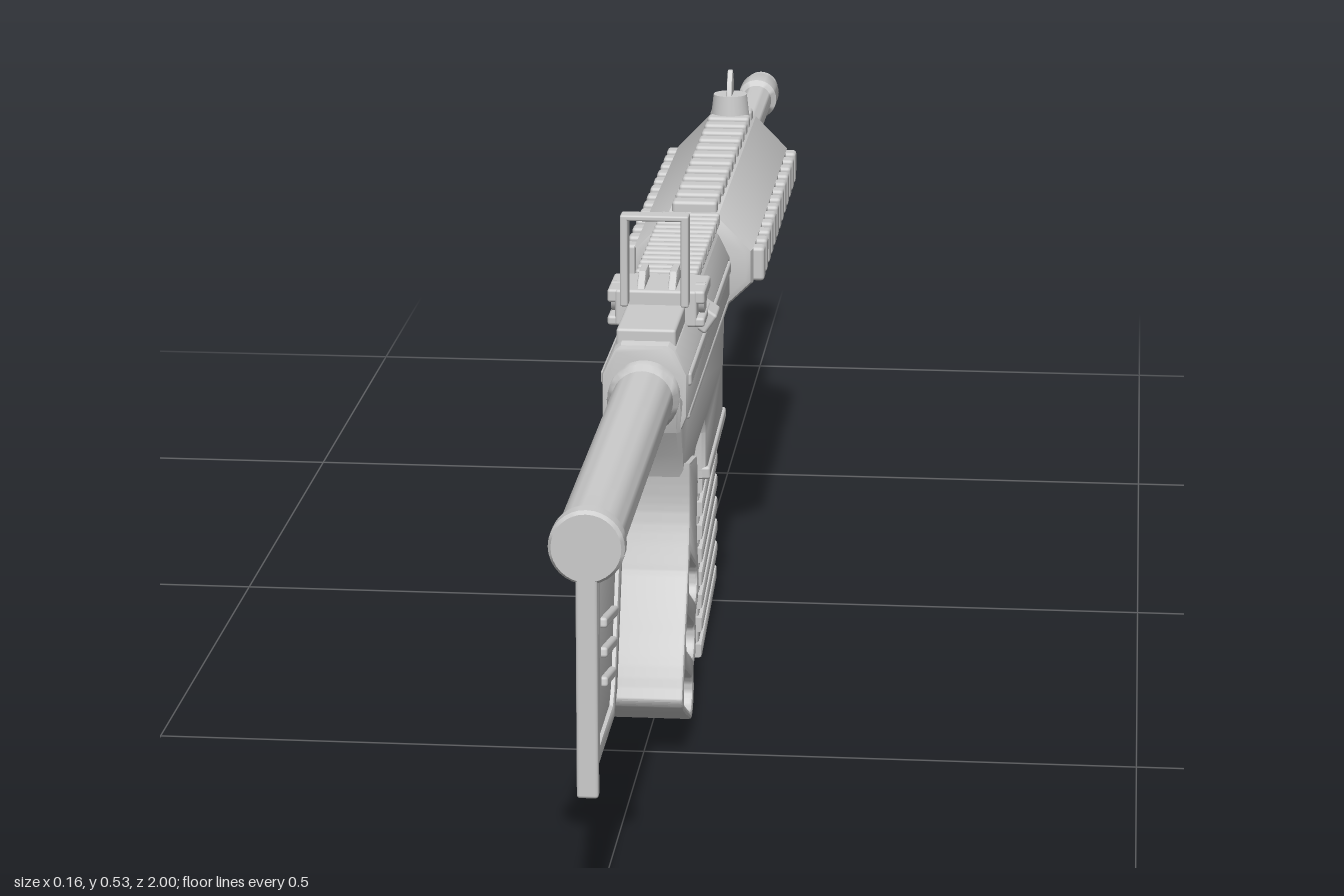
import * as THREE from 'three';
import { toCreasedNormals } from 'three/addons/utils/BufferGeometryUtils.js';
import { RoundedBoxGeometry } from 'three/addons/geometries/RoundedBoxGeometry.js';

const AXIS = 0.376; // bore height
const mat = new THREE.MeshStandardMaterial({ color: 0xcccccc });
const matDouble = new THREE.MeshStandardMaterial({ color: 0xcccccc, side: THREE.DoubleSide });
const v2 = (p) => new THREE.Vector2(p[0], p[1]);

function add(parent, name, geo, x = 0, y = 0, z = 0, material = mat) {
  const m = new THREE.Mesh(geo, material);
  m.name = name;
  m.position.set(x, y, z);
  parent.add(m);
  return m;
}

function extrude(shape, depth, bevel) {
  const g = new THREE.ExtrudeGeometry(shape, {
    depth: depth - 2 * bevel, bevelEnabled: bevel > 0, bevelThickness: bevel,
    bevelSize: bevel, bevelOffset: -bevel, bevelSegments: 2, curveSegments: 10,
  });
  g.translate(0, 0, bevel - depth / 2);
  return g;
}

// Side outline in (z, y), given a width across x
const sideProfile = (shape, width, bevel = 0.004) =>
  toCreasedNormals(extrude(shape, width, bevel).rotateY(-Math.PI / 2), 0.6);

// Mirrored cross-section in (x, y), run along z
function section(half, z0, z1, bevel = 0.004) {
  const pts = [...half, ...half.map(([x, y]) => [-x, y]).reverse()];
  const g = extrude(new THREE.Shape(pts.map(v2)), z1 - z0, bevel);
  g.translate(0, 0, (z0 + z1) / 2);
  return toCreasedNormals(g, 0.5);
}

// Turned part from [radius, z] points
function turned(points, seg = 32) {
  const g = new THREE.LatheGeometry(points.map(v2), seg);
  g.rotateX(Math.PI / 2);
  return toCreasedNormals(g, 0.6);
}

const poly = (pts) => new THREE.Shape(pts.map(v2));
const block = (w, h, d, r = 0.003) => new RoundedBoxGeometry(w, h, d, 2, r);

function buildStock() {
  const g = new THREE.Group();
  g.name = 'stock';
  add(g, 'bufferTube', turned([[0, 0.47], [0.031, 0.47], [0.031, 0.975], [0.035, 0.98], [0.035, 0.996], [0.032, 1], [0, 1]]), 0, 0.374, 0, matDouble);
  // Raised border around a thinner web
  const outline = [[0.995, 0.355], [0.765, 0.355], [0.835, 0.185], [0.862, 0.165], [0.995, 0.165]];
  const rim = poly(outline);
  rim.holes.push(new THREE.Path([[0.98, 0.345], [0.795, 0.345], [0.855, 0.193], [0.87, 0.18], [0.98, 0.18]].map(v2)));
  add(g, 'stockRim', sideProfile(rim, 0.02, 0.002));
  add(g, 'stockWeb', sideProfile(poly(outline), 0.012, 0.002));
  add(g, 'buttPlate', block(0.02, 0.225, 0.012), 0, 0.2475, 0.994);
  for (let i = 0; i < 3; i++) {
    const rib = add(g, 'stockRib', block(0.024, 0.01, 0.1 - i * 0.012), 0, 0.274 - i * 0.028, 0.89 + i * 0.004);
    rib.rotation.x = -0.2;
  }
  return g;
}

function buildReceiver() {
  const g = new THREE.Group();
  g.name = 'receiver';
  add(g, 'upperReceiver', section([[0.036, 0.335], [0.043, 0.352], [0.043, 0.395], [0.031, 0.42], [0.024, 0.426]], -0.015, 0.485));
  const lower = poly([[0.492, 0.375], [0.485, 0.335], [0.462, 0.305], [0.45, 0.27], [0.36, 0.265], [0.335, 0.272],
    [0.215, 0.272], [0.205, 0.255], [0.205, 0.205], [0.01, 0.217], [0.008, 0.28], [-0.008, 0.32], [-0.012, 0.36], [0.4, 0.36]]);
  add(g, 'lowerReceiver', sideProfile(lower, 0.076, 0.006));
  add(g, 'magazineWellLip', block(0.082, 0.014, 0.2), 0, 0.216, 0.105).rotation.x = 0.06;
  add(g, 'receiverCollar', turned([[0, 0.47], [0.036, 0.47], [0.036, 0.5], [0.031, 0.508], [0, 0.508]]), 0, 0.374, 0, matDouble);
  for (const s of [-1, 1]) {
    add(g, 'sideStrip', block(0.006, 0.014, 0.47), s * 0.043, 0.387, 0.235);
    add(g, 'sideSeam', block(0.006, 0.008, 0.46), s * 0.041, 0.348, 0.235);
  }
  add(g, 'caseDeflector', block(0.02, 0.024, 0.04), 0.045, 0.412, 0.31).rotation.z = -0.6;
  add(g, 'chargingHandle', block(0.06, 0.022, 0.17), 0, 0.427, 0.385);

  // Top rail with cross teeth
  add(g, 'topRail', block(0.05, 0.022, 0.31), 0, 0.425, 0.145);
  for (let i = 0; i < 16; i++) add(g, 'railTooth', block(0.066, 0.014, 0.01), 0, 0.439, 0.293 - i * 0.0197);

  // Trigger guard and trigger
  const guard = new THREE.CatmullRomCurve3([[0.335, 0.268], [0.33, 0.215], [0.3, 0.186], [0.25, 0.18], [0.214, 0.2], [0.203, 0.25]]
    .map(([z, y]) => new THREE.Vector3(0, y, z)));
  const gg = new THREE.TubeGeometry(guard, 28, 0.007, 10);
  gg.scale(2, 1, 1);
  add(g, 'triggerGuard', gg);
  const trigger = new THREE.CatmullRomCurve3([[0.29, 0.275], [0.298, 0.245], [0.295, 0.225], [0.28, 0.205]]
    .map(([z, y]) => new THREE.Vector3(0, y, z)));
  add(g, 'trigger', new THREE.TubeGeometry(trigger, 14, 0.007, 8));
  return g;
}

// Open grip with three finger lobes
function buildGrip() {
  const d = [-0.906, -0.423], n = [0.423, -0.906];
  const centres = [[0.418, 0.16], [0.447, 0.108], [0.472, 0.058]];
  const at = (c, a, b) => new THREE.Vector2(c[0] + d[0] * a + n[0] * b, c[1] + d[1] * a + n[1] * b);
  const front = centres.flatMap((c) => [at(c, 0.05, -0.025), at(c, 0.063, -0.012), at(c, 0.063, 0.012), at(c, 0.052, 0.024)]);
  const back = [at(centres[2], -0.05, 0.024), at(centres[2], -0.062, 0), at(centres[1], -0.06, 0), at(centres[0], -0.058, 0)];
  const shape = new THREE.Shape();
  shape.moveTo(0.455, 0.295);
  shape.lineTo(0.375, 0.28);
  shape.lineTo(0.366, 0.25);
  shape.splineThru([new THREE.Vector2(0.378, 0.21), ...front]);
  shape.splineThru(back);
  shape.splineThru([new THREE.Vector2(0.452, 0.24), new THREE.Vector2(0.455, 0.295)]);
  for (const c of centres) {
    const ring = [];
    for (let i = 0; i < 24; i++) {
      const a = (i + 0.5) / 24 * Math.PI * 2, k = Math.cos(a);
      ring.push(at(c, Math.sign(k) * 0.034 + k * 0.017, Math.sin(a) * 0.018));
    }
    shape.holes.push(new THREE.Path(ring));
  }
  const g = new THREE.Group();
  g.name = 'grip';
  add(g, 'gripShell', sideProfile(shape, 0.086, 0.003), 0, 0, 0, matDouble);
  return g;
}

function buildMagazine() {
  const g = new THREE.Group();
  g.name = 'magazine';
  add(g, 'magazineBody', sideProfile(poly([[0.198, 0.25], [0.196, 0.008], [0.018, 0.038], [0.012, 0.25]]), 0.056));
  add(g, 'magazineFloor', sideProfile(poly([[0.2, 0.016], [0.199, 0.001], [0.015, 0.033], [0.015, 0.048]]), 0.064, 0.003));
  for (let i = 0; i < 7; i++) {
    const y = 0.03 + i * 0.026;
    add(g, 'magazineRib', sideProfile(poly([[0.199, y + 0.016], [0.199, y], [0.014, y + 0.03], [0.014, y + 0.046]]), 0.065, 0.003));
  }
  return g;
}

function buildHandguard() {
  const g = new THREE.Group();
  g.name = 'handguard';
  add(g, 'handguardBody', section([[0.026, 0.319], [0.066, 0.357], [0.066, 0.395], [0.028, 0.434]], -0.57, -0.042, 0.008));
  add(g, 'barrelNut', turned([[0, -0.05], [0.036, -0.05], [0.036, -0.01], [0, -0.01]]), 0, AXIS, 0, matDouble);
  // Teeth on all four faces
  for (let i = 0; i < 13; i++) {
    const z = -0.066 - i * 0.04;
    add(g, 'topTooth', block(0.05, 0.022, 0.022, 0.004), 0, 0.435, z);
    add(g, 'bottomTooth', block(0.046, 0.022, 0.022, 0.004), 0, 0.319, z);
    for (const s of [-1, 1]) add(g, 'sideTooth', block(0.022, 0.038, 0.022, 0.004), s * 0.067, 0.376, z);
  }
  return g;
}

function buildBarrel() {
  const g = new THREE.Group();
  g.name = 'barrel';
  add(g, 'barrelCollar', turned([[0, -0.55], [0.044, -0.55], [0.044, -0.585], [0.037, -0.61], [0.036, -0.68], [0.019, -0.682]]), 0, AXIS, 0, matDouble);
  add(g, 'barrelTube', turned([[0.019, -0.66], [0.019, -0.925], [0.025, -0.932], [0.025, -0.975], [0.022, -0.98],
    [0.022, -1], [0.016, -1], [0.016, -0.94], [0, -0.94]]), 0, AXIS, 0, matDouble);
  return g;
}

function buildSights() {
  const g = new THREE.Group();
  g.name = 'sights';
  // Rear: clamp base, side knobs and a tall open frame
  add(g, 'rearSightBase', block(0.084, 0.038, 0.072), 0, 0.434, 0.336);
  for (const s of [-1, 1]) {
    add(g, 'rearSightClamp', block(0.014, 0.014, 0.07), s * 0.043, 0.446, 0.336);
    add(g, 'rearSightFoot', block(0.014, 0.01, 0.07), s * 0.043, 0.42, 0.336);
    add(g, 'rearSightKnob', new THREE.CylinderGeometry(0.016, 0.016, 0.01, 20).rotateZ(Math.PI / 2), s * 0.043, 0.438, 0.338);
    add(g, 'rearSightPost', block(0.008, 0.095, 0.02, 0.002), s * 0.031, 0.487, 0.378);
    add(g, 'rearSightEar', sideProfile(poly([[0.37, 0.45], [0.31, 0.45], [0.318, 0.468], [0.35, 0.468]]), 0.008, 0.002), s * 0.016);
  }
  add(g, 'rearSightBar', block(0.07, 0.006, 0.02, 0.002), 0, 0.532, 0.378);
  // Front: round foot with a slim blade
  add(g, 'frontSightFoot', new THREE.CylinderGeometry(0.02, 0.023, 0.026, 24), 0, 0.456, -0.525);
  add(g, 'frontSightBlade', sideProfile(poly([[-0.505, 0.46], [-0.512, 0.485], [-0.522, 0.498], [-0.528, 0.498], [-0.542, 0.482], [-0.545, 0.46]]), 0.006, 0.001));
  return g;
}

export function createModel() {
  const model = new THREE.Group();
  model.name = 'rifle';
  model.add(buildStock(), buildReceiver(), buildGrip(), buildMagazine(), buildHandguard(), buildBarrel(), buildSights());
  return model;
}
